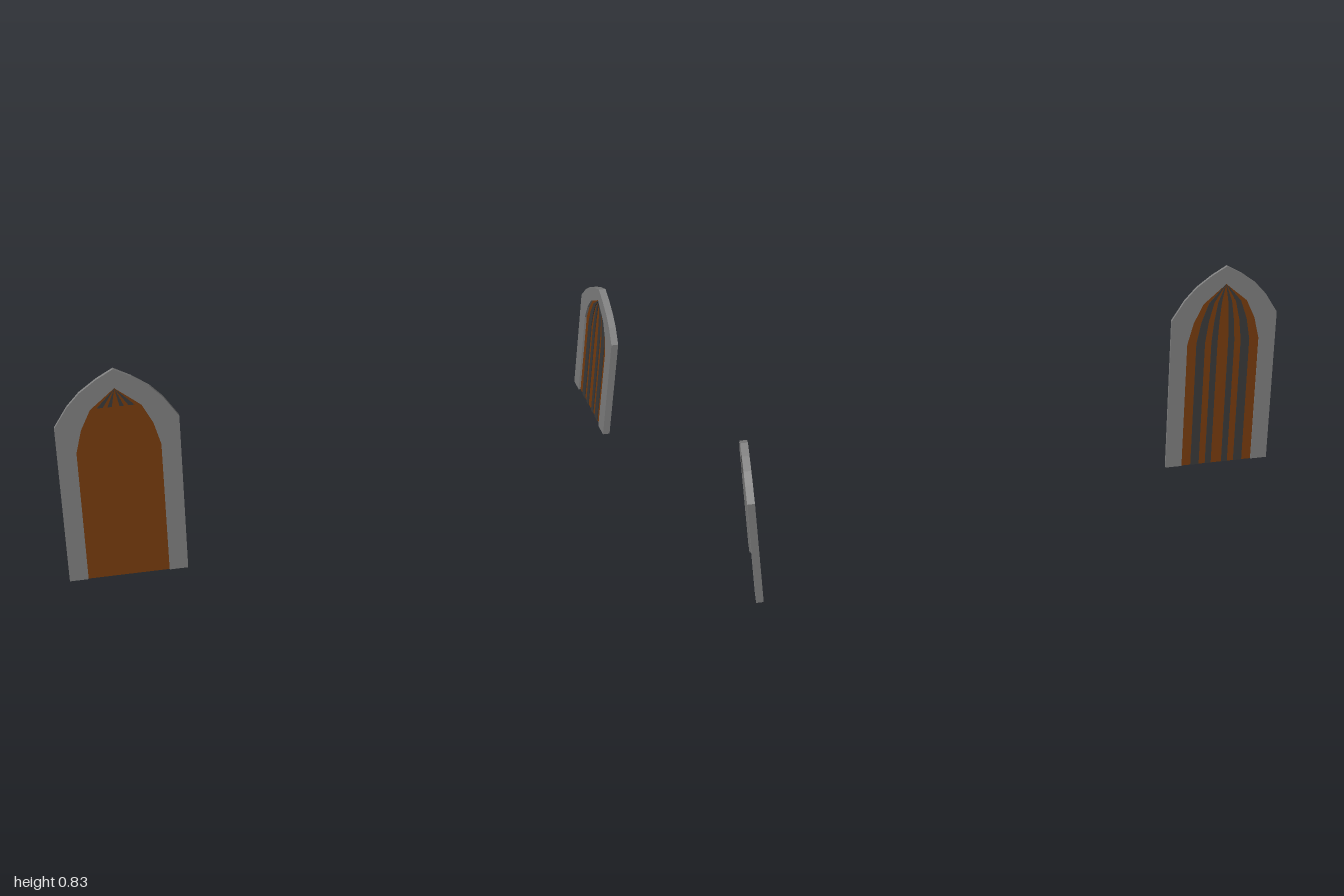
import * as THREE from 'three';

const stone = new THREE.MeshStandardMaterial({ color: 0x808080, flatShading: true });
const wood = new THREE.MeshStandardMaterial({ color: 0x783c0e, flatShading: true });
const iron = new THREE.MeshStandardMaterial({ color: 0x3a3a3a, flatShading: true });

// Right half of each pointed arch: [fraction of half width, fraction of height]
const OUTER = [[1, 0], [1, 0.755], [0.77, 0.847], [0.56, 0.906], [0.28, 0.959], [0, 1]];
const INNER = [[0.685, 0], [0.685, 0.63], [0.58, 0.735], [0.41, 0.825], [0, 0.914]];

const mirrored = (half) => [...half, ...half.slice(0, -1).reverse().map(([x, y]) => [-x, y])];

// One arched door: plain on +z, barred on -z
function createDoor(width, height, depth) {
  const door = new THREE.Group();

  // Extrude an outline between two depths, given as fractions of the thickness
  function addPart(name, points, z0, z1, material) {
    const shape = new THREE.Shape(points.map(([x, y]) => new THREE.Vector2(x * width / 2, y * height)));
    const geometry = new THREE.ExtrudeGeometry(shape, { depth: (z1 - z0) * depth, bevelEnabled: false });
    geometry.translate(0, 0, z0 * depth);
    const mesh = new THREE.Mesh(geometry, material);
    mesh.name = name;
    door.add(mesh);
  }

  // Stone surround, open at the bottom
  addPart('archFrame', [...mirrored(OUTER), ...mirrored(INNER).reverse()], -0.5, 0.5, stone);
  // Wooden leaf
  addPart('doorPanel', mirrored(INNER), -0.2, 0.2, wood);

  // Dark strips follow the arch and meet at its tip
  for (const side of [-1, 1]) {
    for (const [a, b] of [[0.15, 0.32], [0.5, 0.74]]) {
      const strip = (rows) => [
        ...rows.map(([w, y]) => [side * b * w, y]),
        ...rows.slice(0, -1).reverse().map(([w, y]) => [side * a * w, y]),
      ];
      addPart('backStrip', strip(INNER), -0.32, -0.15, iron);
      addPart('crownStrip', strip([[0.41, 0.827], [0, 0.91]]), 0.15, 0.24, iron);
    }
  }
  return door;
}

export function createModel() {
  const model = new THREE.Group();

  const tallDoor = createDoor(0.4, 0.826, 0.01);
  tallDoor.name = 'tallDoor';
  tallDoor.position.set(-0.8, 0, 0.356);

  const smallDoor = createDoor(0.36, 0.51, 0.025);
  smallDoor.name = 'smallDoor';
  smallDoor.position.set(0.9875, 0.095, -0.18);
  smallDoor.rotation.y = Math.PI / 2;

  model.add(tallDoor, smallDoor);
  return model;
}
